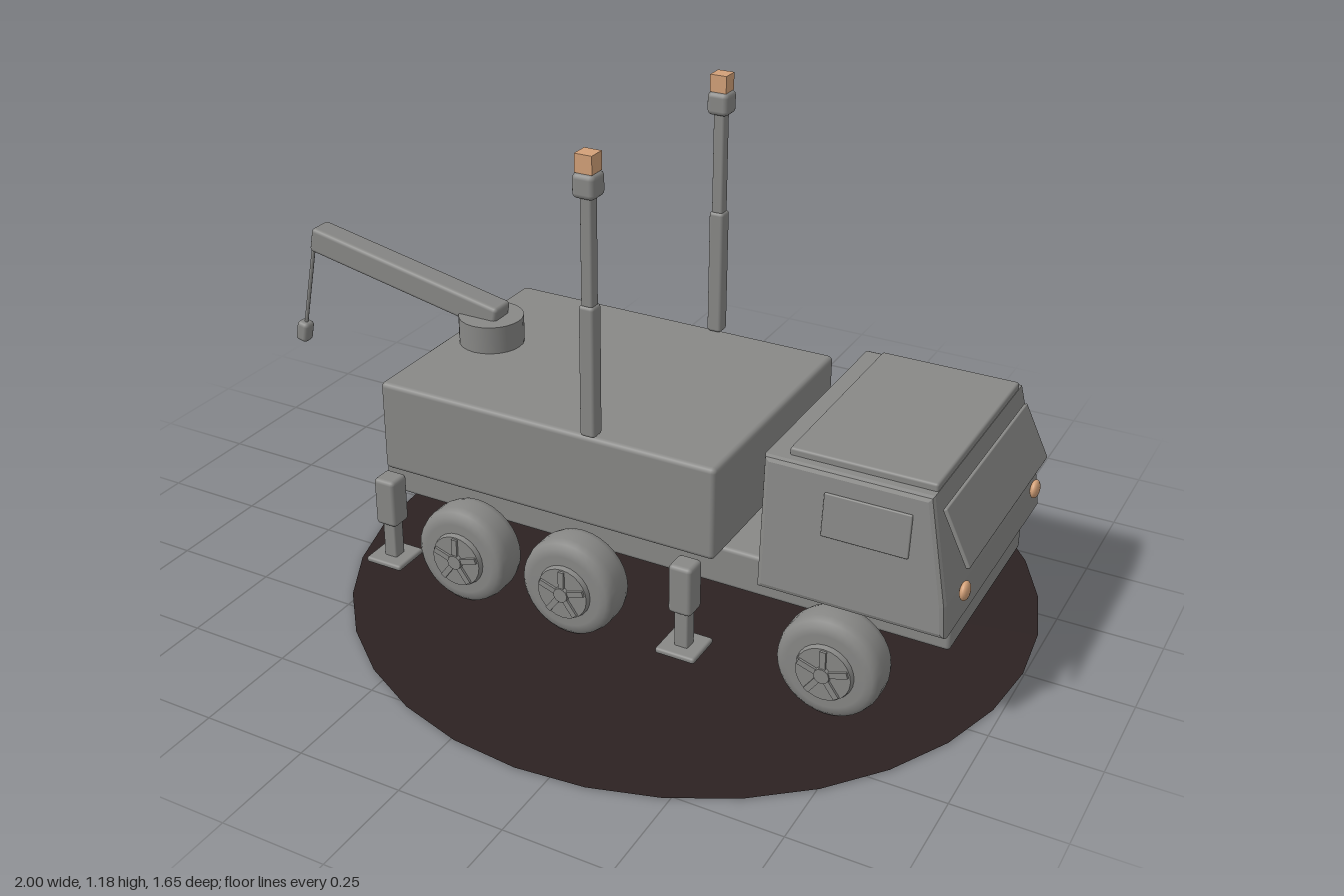
import * as THREE from 'three';
import { RoundedBoxGeometry } from 'three/addons/geometries/RoundedBoxGeometry.js';

export function createModel() {
  const root = new THREE.Group();
  root.name = 'craneTruck';
  const grey = new THREE.MeshStandardMaterial({ color: 0x888886 });
  grey.name = 'grey paint';
  const amber = new THREE.MeshStandardMaterial({ color: 0xd2a078 });
  amber.name = 'amber lamp';
  const soil = new THREE.MeshStandardMaterial({ color: 0x2c2222, side: THREE.DoubleSide });
  soil.name = 'dark ground';

  const add = (name, geo, mat, x, y, z, parent = root) => {
    const m = new THREE.Mesh(geo, mat);
    m.name = name;
    m.position.set(x, y, z);
    parent.add(m);
    return m;
  };
  // Box with softened edges, given by its centre and size
  const block = (name, x, y, z, w, h, d, r = 0.008, parent = root) =>
    add(name, new RoundedBoxGeometry(w, h, d, 2, r), grey, x, y, z, parent);

  // Ground disc
  add('groundDisc', new THREE.CircleGeometry(0.827, 32).rotateX(-Math.PI / 2), soil, 0.17, 0.004, 0);

  // Chassis and rear body
  block('chassis', 0.168, 0.225, 0, 1.455, 0.1, 0.48, 0.01);
  block('rearBody', -0.062, 0.402, 0, 0.875, 0.228, 0.645, 0.012);

  // Cab: bevelled side profile, narrowed towards the roof
  const bevel = 0.012;
  const profile = new THREE.Shape([
    [0.49, 0.27], [0.896, 0.27], [0.889, 0.33], [0.841, 0.555], [0.485, 0.555],
  ].map(([x, y]) => new THREE.Vector2(x, y)));
  const cab = new THREE.ExtrudeGeometry(profile, {
    depth: 0.626, bevelEnabled: true, bevelSize: bevel, bevelThickness: bevel, bevelSegments: 2,
  });
  cab.translate(0, 0, -0.313);
  const p = cab.attributes.position;
  for (let i = 0; i < p.count; i++) p.setZ(i, p.getZ(i) * (1 - 0.31 * (p.getY(i) - 0.258)));
  cab.computeVertexNormals();
  add('cab', cab, grey, 0, 0, 0);
  block('cabRoof', 0.685, 0.573, 0, 0.33, 0.022, 0.53, 0.006);
  block('windscreen', 0.897, 0.47, 0, 0.01, 0.138, 0.535, 0.003).rotation.z = 0.45;

  for (const s of [1, -1]) {
    // Side windows follow the slope of the cab walls
    block('sideWindow', 0.715, 0.47, s * 0.304, 0.195, 0.1, 0.009, 0.003).rotation.x = -s * 0.1;
    // Headlights
    add('headlight', new THREE.SphereGeometry(0.022, 16, 12).scale(0.5, 1, 1), amber, 0.917, 0.337, s * 0.24);

    // Masts with lamps
    const mast = new THREE.Group();
    mast.name = 'mast';
    mast.position.set(0.065, 0, s * 0.313);
    root.add(mast);
    block('mastLower', 0, 0.677, 0, 0.038, 0.315, 0.038, 0.008, mast);
    block('mastUpper', 0, 0.965, 0, 0.029, 0.27, 0.029, 0.006, mast);
    block('mastCollar', 0, 1.107, 0, 0.055, 0.056, 0.055, 0.012, mast);
    add('mastLamp', new THREE.BoxGeometry(0.042, 0.042, 0.042), amber, 0, 1.156, 0, mast);

    // Outriggers
    for (const x of [-0.415, 0.355]) {
      const rig = new THREE.Group();
      rig.name = 'outrigger';
      rig.position.set(x, 0, s * 0.418);
      root.add(rig);
      block('outriggerSleeve', 0, 0.275, 0, 0.056, 0.12, 0.056, 0.01, rig);
      block('outriggerLeg', 0, 0.172, 0, 0.034, 0.1, 0.034, 0.005, rig);
      block('outriggerFoot', 0, 0.121, 0, 0.096, 0.014, 0.096, 0.006, rig);
    }

    // Wheels
    for (const x of [-0.27, 0.02, 0.665]) {
      const wheel = new THREE.Group();
      wheel.name = 'wheel';
      wheel.position.set(x, 0.124, s * 0.314);
      if (s < 0) wheel.rotation.y = Math.PI;
      root.add(wheel);
      const tyre = new THREE.LatheGeometry([
        [0, -0.05], [0.09, -0.05], [0.107, -0.047], [0.117, -0.038], [0.122, -0.02],
        [0.122, 0.02], [0.117, 0.038], [0.107, 0.047], [0.09, 0.05], [0, 0.05],
      ].map(([r, y]) => new THREE.Vector2(r, y)), 32);
      add('tyre', tyre.rotateX(Math.PI / 2), grey, 0, 0, 0, wheel);
      add('rim', new THREE.CylinderGeometry(0.064, 0.068, 0.014, 24).rotateX(Math.PI / 2), grey, 0, 0, 0.055, wheel);
      add('hub', new THREE.CylinderGeometry(0.018, 0.02, 0.012, 12).rotateX(Math.PI / 2), grey, 0, 0, 0.065, wheel);
      for (let i = 0; i < 5; i++) {
        const spoke = new THREE.BoxGeometry(0.014, 0.05, 0.008).translate(0, 0.035, 0);
        add('spoke', spoke, grey, 0, 0, 0.064, wheel).rotation.z = (i * Math.PI * 2) / 5;
      }
    }
  }

  // Crane: turntable, boom, cable and hook
  add('turntable', new THREE.CylinderGeometry(0.08, 0.08, 0.07, 24), grey, -0.395, 0.55, 0);
  block('boom', -0.638, 0.638, 0, 0.56, 0.066, 0.066, 0.01).rotation.z = -0.195;
  const cable = new THREE.LineCurve3(new THREE.Vector3(-0.928, 0.66, 0), new THREE.Vector3(-0.977, 0.42, 0));
  add('cable', new THREE.TubeGeometry(cable, 1, 0.005, 8), grey, 0, 0, 0);
  block('hook', -0.98, 0.412, 0, 0.036, 0.056, 0.036, 0.011).rotation.z = -0.2;

  return root;
}
